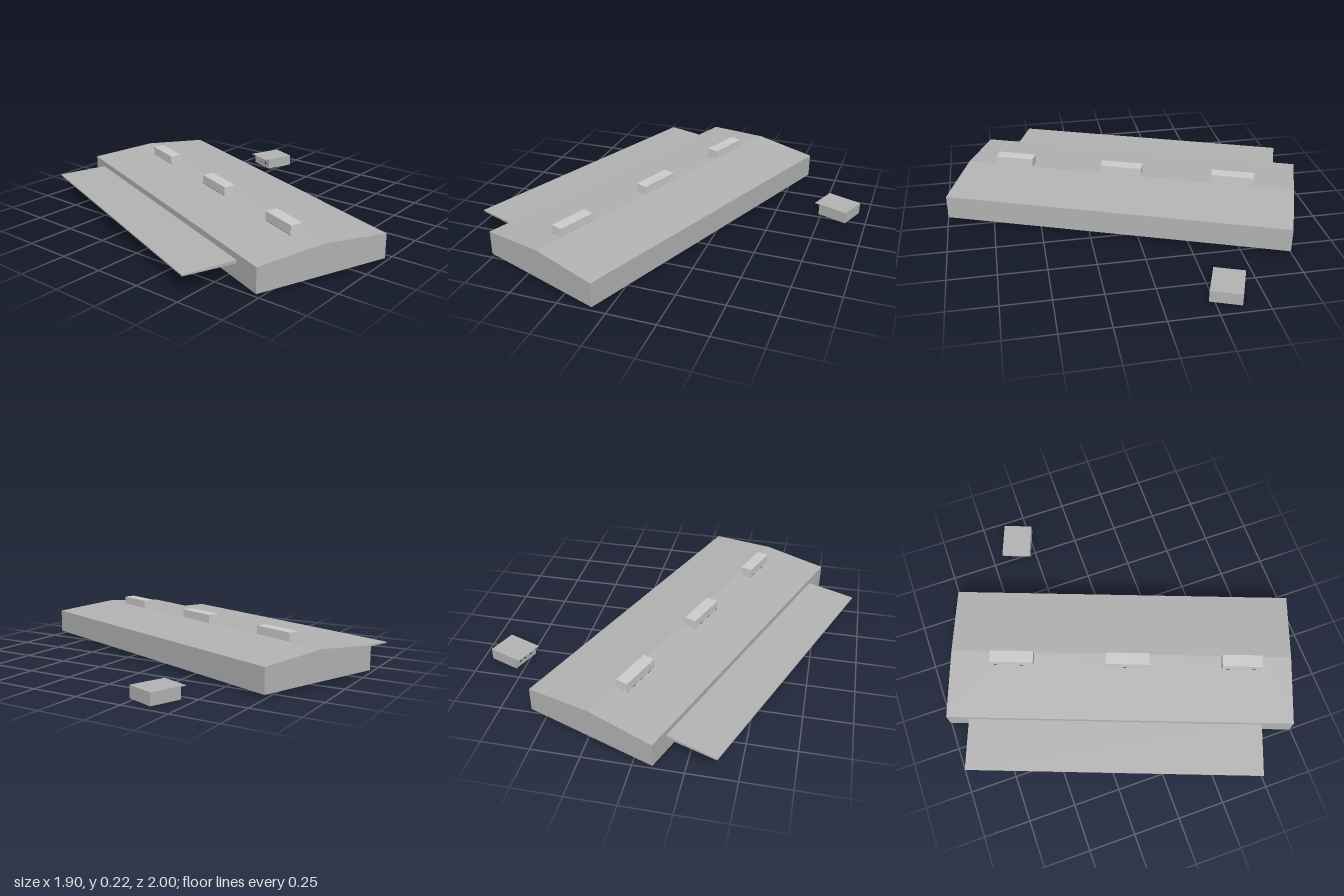
import * as THREE from 'three';

export function createModel() {
  const mat = (name, color) => new THREE.MeshStandardMaterial({ name, color, side: THREE.DoubleSide });
  const grey = mat('concreteGrey', 0xb4b4b4);
  const pale = mat('skylightPale', 0xcfcdcb);

  const model = new THREE.Group();
  model.name = 'industrialHall';

  const add = (parent, name, geo, material, x = 0, y = 0, z = 0, ry = 0) => {
    const mesh = new THREE.Mesh(geo, material);
    mesh.name = name;
    mesh.position.set(x, y, z);
    mesh.rotation.y = ry;
    parent.add(mesh);
    return mesh;
  };
  const polygon = pts => new THREE.Shape(pts.map(p => new THREE.Vector2(...p)));
  const rect = (x0, y0, x1, y1) => polygon([[x0, y0], [x1, y0], [x1, y1], [x0, y1]]);

  // box without its underside
  const openBox = (w, h, d) => {
    const g = new THREE.BoxGeometry(w, h, d);
    const index = Array.from(g.index.array);
    index.splice(18, 6);
    g.setIndex(index);
    g.clearGroups();
    return g;
  };

  const ANGLE = -0.36;
  const hall = new THREE.Group();
  hall.name = 'hall';
  hall.position.set(-0.085, 0, -0.0025);
  hall.rotation.y = ANGLE;
  model.add(hall);

  const W = 0.3655, L = 0.93, base = 0.017, eave = 0.146, ridge = 0.176;

  // end and side walls, open below
  const gable = polygon([[-W, base], [W, base], [W, eave], [0, ridge], [-W, eave]]);
  const side = rect(-L, base, L, eave);
  add(hall, 'frontWall', new THREE.ShapeGeometry(gable), grey, 0, 0, L);
  add(hall, 'backWall', new THREE.ShapeGeometry(gable), grey, 0, 0, -L, Math.PI);
  add(hall, 'leftWall', new THREE.ShapeGeometry(side), grey, W, 0, 0, Math.PI / 2);
  add(hall, 'rightWall', new THREE.ShapeGeometry(side), grey, -W, 0, 0, -Math.PI / 2);

  // skylights: centre along the hall and length
  const skyX = -0.041, skyW = 0.066;
  const skylights = [[-0.593, 0.235], [0.036, 0.235], [0.657, 0.216]];

  // two shallow roof slopes, the right one cut open under the skylights
  for (const s of [-1, 1]) {
    const shape = s < 0 ? rect(-W, -L, 0, L) : rect(0, -L, W, L);
    if (s < 0) {
      for (const [z, len] of skylights) {
        shape.holes.push(rect(skyX - skyW / 2, -z - len / 2, skyX + skyW / 2, -z + len / 2));
      }
    }
    const g = new THREE.ShapeGeometry(shape).rotateX(-Math.PI / 2);
    const p = g.attributes.position;
    for (let i = 0; i < p.count; i++) {
      p.setY(i, ridge - (ridge - eave) * Math.abs(p.getX(i)) / W);
    }
    g.computeVertexNormals();
    add(hall, s < 0 ? 'rightRoof' : 'leftRoof', g, grey);
  }
  for (const [z, len] of skylights) {
    add(hall, 'skylight', openBox(skyW, 0.049, len), pale, skyX, 0.1955, z);
  }

  // side canopy, a thin tapering plate pushed through the wall
  const section = polygon([[-0.64, 0.101], [-0.345, 0.097], [-0.345, 0.115], [-0.64, 0.108]]);
  const canopy = new THREE.ExtrudeGeometry(section, { depth: 1.578, bevelEnabled: false });
  add(hall, 'canopy', canopy, grey, 0, 0, -0.813);

  // small hut with an overhanging roof
  const hut = new THREE.Group();
  hut.name = 'hut';
  hut.position.set(0.83, 0, -0.333);
  hut.rotation.y = ANGLE;
  model.add(hut);
  const x0 = -0.071, x1 = 0.098, d = 0.08, h = 0.059;
  for (const s of [-1, 1]) {
    add(hut, s > 0 ? 'hutFrontWall' : 'hutBackWall', new THREE.ShapeGeometry(rect(x0, 0, x1, h)), grey, 0, 0, s * d);
  }
  add(hut, 'hutLeftWall', new THREE.ShapeGeometry(rect(-d, 0, d, h)), grey, x1, 0, 0, Math.PI / 2);
  // wall under the overhang with small openings
  const doorWall = rect(-d, 0, d, h);
  for (const x of [-0.045, -0.01, 0.035]) doorWall.holes.push(rect(x, 0.02, x + 0.009, 0.036));
  add(hut, 'hutRightWall', new THREE.ShapeGeometry(doorWall), grey, x0, 0, 0, -Math.PI / 2);
  add(hut, 'hutRoof', new THREE.BoxGeometry(0.196, 0.004, 0.16), grey, 0, 0.061, 0);

  return model;
}
